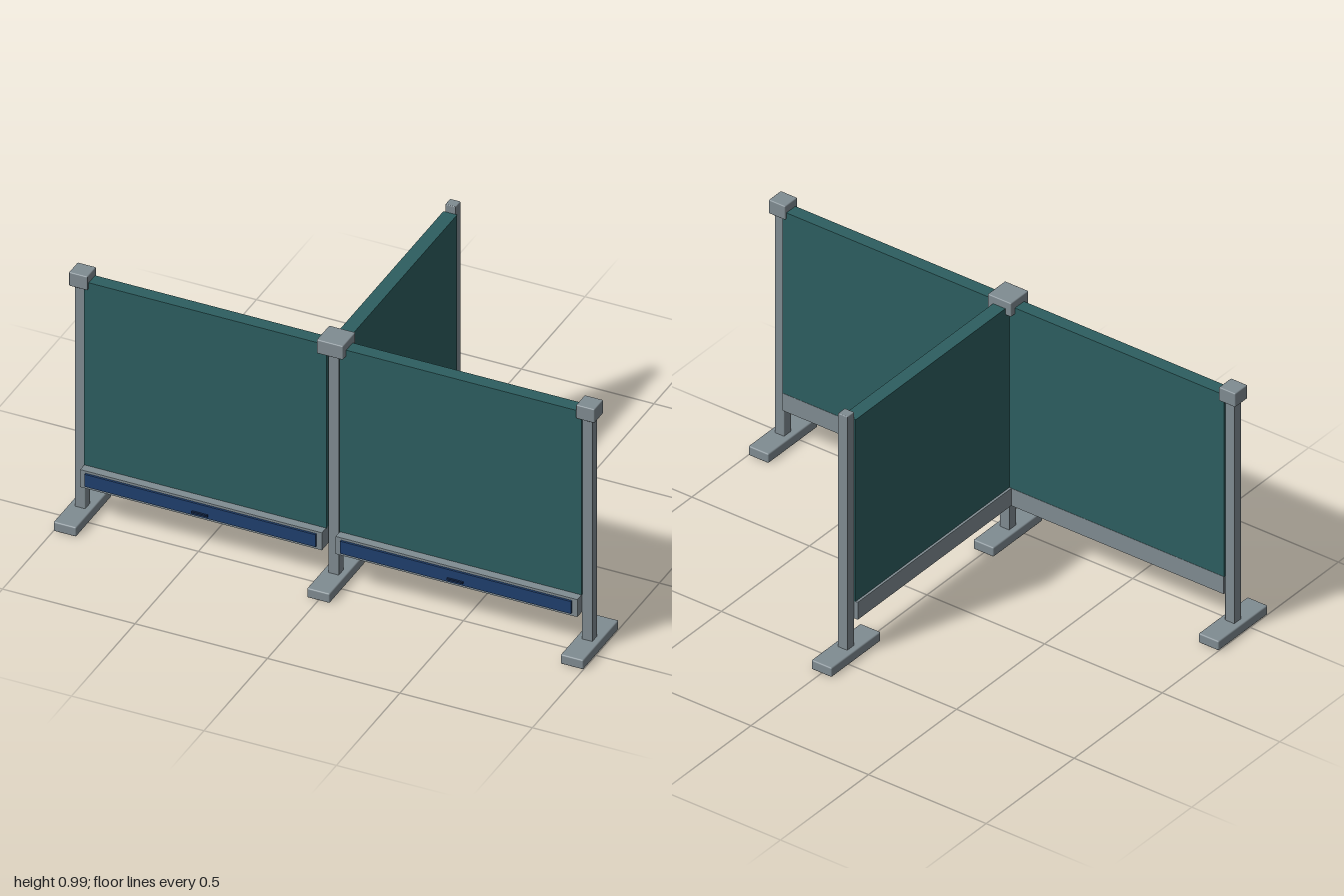
import * as THREE from 'three';
import { RoundedBoxGeometry } from 'three/addons/geometries/RoundedBoxGeometry.js';

const material = (name, color) => {
  const m = new THREE.MeshStandardMaterial({ color });
  m.name = name;
  return m;
};

export function createModel() {
  const model = new THREE.Group();
  model.name = 'officePartition';
  const metal = material('grey metal', 0x808c92);
  const fabric = material('teal fabric', 0x2d5e60);
  const navy = material('navy cover', 0x1f3f6e);
  const dark = material('dark navy latch', 0x14284a);

  // Box given by its extents on each axis, with an optional softened edge
  const box = (parent, name, mat, [x0, x1], [y0, y1], [z0, z1], bevel = 0) => {
    const size = [x1 - x0, y1 - y0, z1 - z0];
    const geometry = bevel
      ? new RoundedBoxGeometry(...size, 2, bevel)
      : new THREE.BoxGeometry(...size);
    const mesh = new THREE.Mesh(geometry, mat);
    mesh.name = name;
    mesh.position.set((x0 + x1) / 2, (y0 + y1) / 2, (z0 + z1) / 2);
    parent.add(mesh);
  };
  const around = (c, half) => [c - half, c + half];
  const addGroup = (name) => {
    const g = new THREE.Group();
    g.name = name;
    model.add(g);
    return g;
  };

  // Posts on flat feet; the front three carry caps
  const posts = [
    { name: 'rightPost', x: -0.957, z: 0.46, footZ: 0.46, cap: 0.035, top: 0.94 },
    { name: 'centrePost', x: 0, z: 0.46, footZ: 0.46, cap: 0.05, top: 0.94 },
    { name: 'leftPost', x: 0.957, z: 0.46, footZ: 0.46, cap: 0.035, top: 0.94 },
    { name: 'rearPost', x: 0, z: -0.46, footZ: -0.46, cap: 0, top: 0.993 },
  ];
  for (const p of posts) {
    const g = addGroup(p.name);
    box(g, 'foot', metal, around(p.x, 0.043), [0, 0.038], around(p.footZ, 0.14), 0.005);
    box(g, 'upright', metal, around(p.x, 0.02), [0.036, p.top], around(p.z, 0.02), 0.003);
    if (p.cap) {
      box(g, 'cap', metal, around(p.x, p.cap), [0.937, 0.993], around(p.z, p.cap), 0.004);
    }
  }

  // Two front screens with cable rails and navy covers
  for (const side of [-1, 1]) {
    const g = addGroup(side < 0 ? 'rightScreen' : 'leftScreen');
    const c = side * 0.482;
    box(g, 'fabricPanel', fabric, around(c, 0.457), [0.218, 0.963], [0.433, 0.484]);
    box(g, 'bottomRail', metal, around(c, 0.456), [0.148, 0.219], [0.432, 0.517]);
    box(g, 'railCover', navy, around(c, 0.436), [0.16, 0.21], [0.516, 0.525]);
    box(g, 'coverLatch', dark, around(c, 0.03), [0.17, 0.177], [0.524, 0.532]);
  }

  // Dividing screen running to the rear post
  const divider = addGroup('dividerScreen');
  box(divider, 'fabricPanel', fabric, around(0, 0.026), [0.218, 0.963], [-0.44, 0.438]);
  box(divider, 'bottomRail', metal, around(0, 0.035), [0.148, 0.219], [-0.44, 0.438]);

  return model;
}
